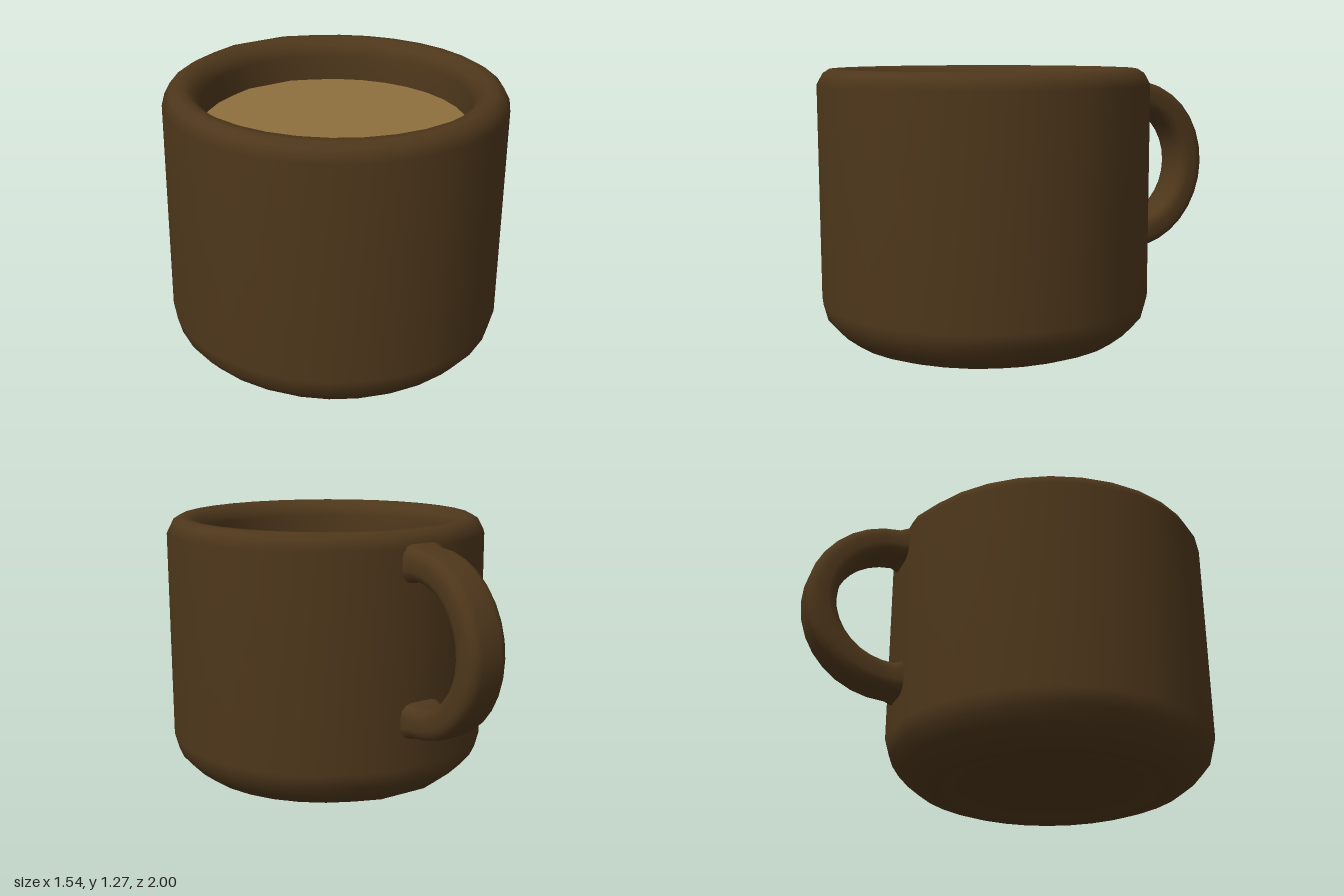
import * as THREE from 'three';

const SEG = 32;
const CENTRE_Z = 0.23;

// Lathe a profile, with the back facet widened into a flat pad behind the handle
function turned(name, profile, material) {
  const geo = new THREE.LatheGeometry(profile.map(([r, y]) => new THREE.Vector2(r, y)), SEG);
  const pos = geo.attributes.position;
  const n = profile.length;
  for (const step of [SEG / 2 - 1, SEG / 2 + 1]) {
    for (let i = 0; i < n; i++) pos.setZ(step * n + i, -profile[i][0]);
  }
  const mesh = new THREE.Mesh(geo, material);
  mesh.name = name;
  mesh.position.z = CENTRE_Z;
  return mesh;
}

// Rounded rectangle section: a runs across the handle, b through its thickness
function handleSection(halfWidth, halfThick, corner) {
  const points = [];
  for (let q = 0; q < 4; q++) {
    const sx = q === 0 || q === 3 ? 1 : -1;
    const sy = q < 2 ? 1 : -1;
    for (let k = 0; k <= 3; k++) {
      const t = (q + k / 3) * Math.PI / 2;
      points.push([
        sx * (halfWidth - corner) + corner * Math.cos(t),
        sy * (halfThick - corner) + corner * Math.sin(t),
      ]);
    }
  }
  return points;
}

// Half-ring handle that flares where it meets the wall
function handleGeometry() {
  const section = handleSection(0.1, 0.072, 0.05);
  const radius = 0.353, cy = 0.775, cz = -0.575, arcSteps = 16;
  const stations = [];
  const end = (sign, z, scale) => ({ y: cy + sign * radius, z, ny: sign, nz: 0, scale });
  stations.push(end(1, -0.48, 1.2), end(1, -0.535, 1.18));
  for (let i = 0; i <= arcSteps; i++) {
    const t = Math.PI * i / arcSteps;
    const ny = Math.cos(t), nz = -Math.sin(t);
    stations.push({ y: cy + radius * ny, z: cz + radius * nz, ny, nz, scale: 1 });
  }
  stations.push(end(-1, -0.535, 1.18), end(-1, -0.48, 1.2));

  const positions = [], index = [];
  const n = section.length;
  stations.forEach((s, j) => {
    for (const [a, b] of section) {
      positions.push(a * s.scale, s.y + b * s.scale * s.ny, s.z + b * s.scale * s.nz);
    }
    if (j === 0) return;
    for (let i = 0; i < n; i++) {
      const k = (i + 1) % n;
      const p = (j - 1) * n, c = j * n;
      index.push(p + i, c + i, p + k, p + k, c + i, c + k);
    }
  });
  const geo = new THREE.BufferGeometry();
  geo.setAttribute('position', new THREE.Float32BufferAttribute(positions, 3));
  geo.setIndex(index);
  geo.computeVertexNormals();
  return geo;
}

export function createModel() {
  const group = new THREE.Group();
  group.name = 'mug';
  const glaze = new THREE.MeshStandardMaterial({ color: 0x4e371b, side: THREE.DoubleSide });
  const drink = new THREE.MeshStandardMaterial({ color: 0x8f703e });

  // Outer wall, rounded rim and inner wall down past the drink
  group.add(turned('body', [
    [0.58, 0], [0.64, 0.022], [0.7, 0.068], [0.75, 0.125], [0.77, 0.2],
    [0.77, 1.195], [0.742, 1.248], [0.71, 1.268], [0.67, 1.268],
    [0.632, 1.24], [0.605, 1.19], [0.605, 1.0],
  ], glaze));

  // Foot ring and recessed underside
  group.add(turned('footRing', [[0.445, 0.02], [0.5, 0.004], [0.52, 0], [0.58, 0]], glaze));
  group.add(turned('base', [[0, 0.02], [0.445, 0.02]], glaze));

  // Drink surface
  group.add(turned('drink', [[0.605, 1.07], [0, 1.07]], drink));

  const handle = new THREE.Mesh(handleGeometry(), glaze);
  handle.name = 'handle';
  group.add(handle);
  return group;
}
